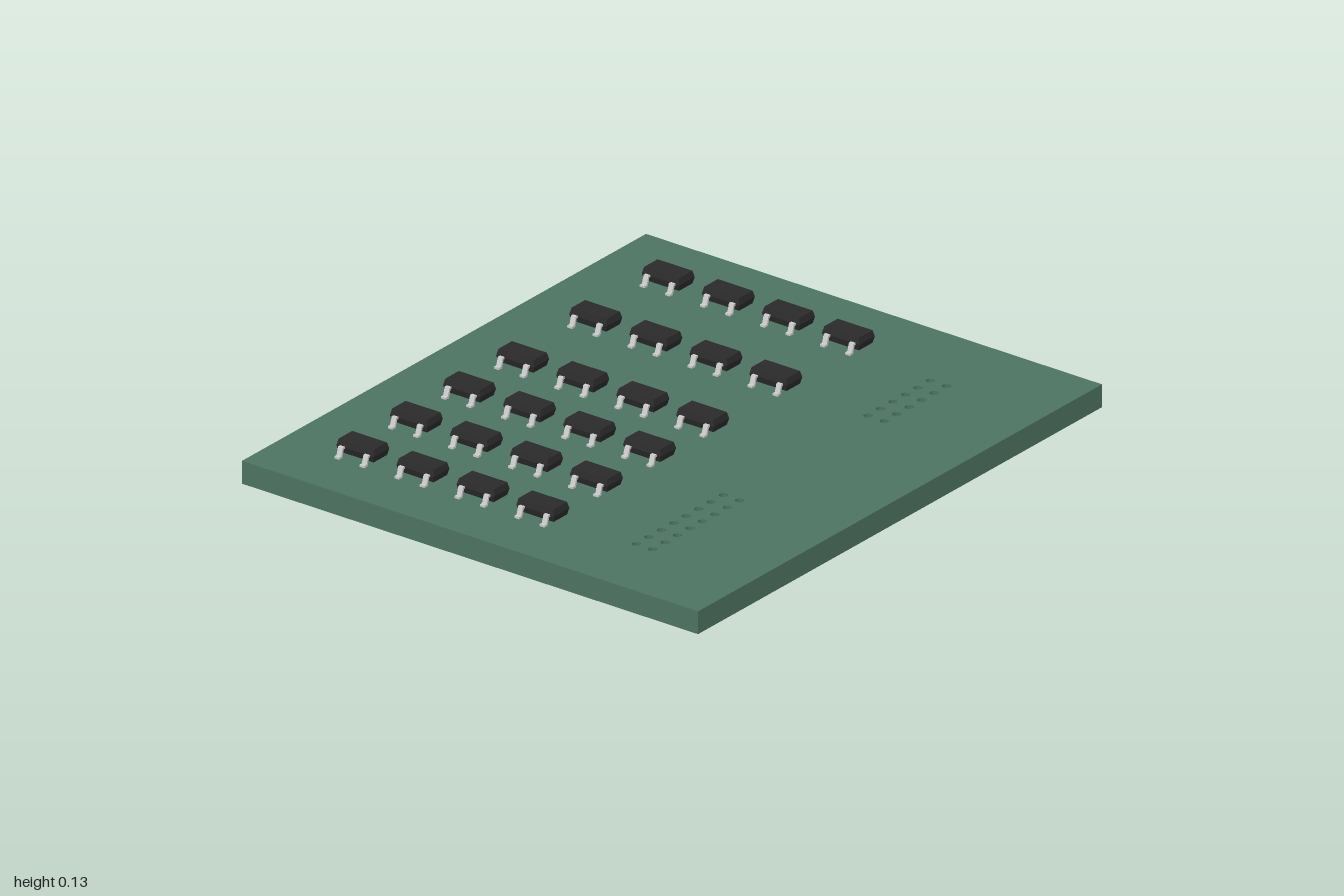
import * as THREE from 'three';

const BOARD_TOP = 0.076;

// Slab with two double rows of drilled pin holes
function boardGeometry() {
  const outline = new THREE.Shape([
    new THREE.Vector2(-1, -0.865), new THREE.Vector2(1, -0.865),
    new THREE.Vector2(1, 0.865), new THREE.Vector2(-1, 0.865),
  ]);
  const pitch = 0.0615;
  const drill = (x0, z0, columns) => {
    for (let row = 0; row < 2; row++) {
      for (let i = 0; i < columns; i++) {
        const hole = new THREE.Path();
        hole.absarc(x0 + i * pitch, -(z0 + row * pitch), 0.014, 0, Math.PI * 2, true);
        outline.holes.push(hole);
      }
    }
  };
  drill(-0.738, 0.431, 8);
  drill(0.398, 0.439, 6);
  const geo = new THREE.ExtrudeGeometry(outline, { depth: BOARD_TOP, bevelEnabled: false, curveSegments: 16 });
  return geo.rotateX(-Math.PI / 2);
}

// Chip body: widest at mid height, drafted towards top and bottom
function bodyGeometry() {
  const geo = new THREE.BoxGeometry(0.077, 0.042, 0.142, 1, 2, 1);
  const p = geo.attributes.position;
  for (let i = 0; i < p.count; i++) {
    if (Math.abs(p.getY(i)) > 0.01) {
      p.setX(i, p.getX(i) - Math.sign(p.getX(i)) * 0.005);
      p.setZ(i, p.getZ(i) - Math.sign(p.getZ(i)) * 0.005);
    }
  }
  const flat = geo.toNonIndexed();
  flat.computeVertexNormals();
  return flat.translate(0, 0.03, 0);
}

// Gull-wing lead: bent strip leaving the body towards +x
function leadGeometry() {
  const profile = new THREE.Shape([
    [0.03, 0.026], [0.043, 0.026], [0.051, 0], [0.067, 0],
    [0.067, 0.007], [0.056, 0.007], [0.048, 0.033], [0.03, 0.033],
  ].map(([x, y]) => new THREE.Vector2(x, y)));
  const width = 0.018;
  return new THREE.ExtrudeGeometry(profile, { depth: width, bevelEnabled: false }).translate(0, 0, -width / 2);
}

export function createModel() {
  const model = new THREE.Group();
  model.name = 'circuitBoard';
  const green = new THREE.MeshStandardMaterial({ color: 0x4d7361 });
  const black = new THREE.MeshStandardMaterial({ color: 0x2a2a2a });
  const metal = new THREE.MeshStandardMaterial({ color: 0xcccccc });

  const add = (parent, geo, mat, name) => {
    const mesh = new THREE.Mesh(geo, mat);
    mesh.name = name;
    parent.add(mesh);
    return mesh;
  };

  add(model, boardGeometry(), green, 'board');

  // Grid of three-legged chips: two leads on -x, one on +x
  const body = bodyGeometry();
  const lead = leadGeometry();
  for (const x of [-0.75, -0.485, -0.222, 0.041, 0.403, 0.762]) {
    for (const z of [-0.598, -0.37, -0.142, 0.085]) {
      const chip = new THREE.Group();
      chip.name = 'chip';
      add(chip, body, black, 'chipBody');
      add(chip, lead, metal, 'singleLead');
      for (const side of [-1, 1]) {
        const pairLead = add(chip, lead, metal, 'pairLead');
        pairLead.rotation.y = Math.PI;
        pairLead.position.z = side * 0.048;
      }
      chip.position.set(x, BOARD_TOP, z);
      model.add(chip);
    }
  }
  return model;
}
